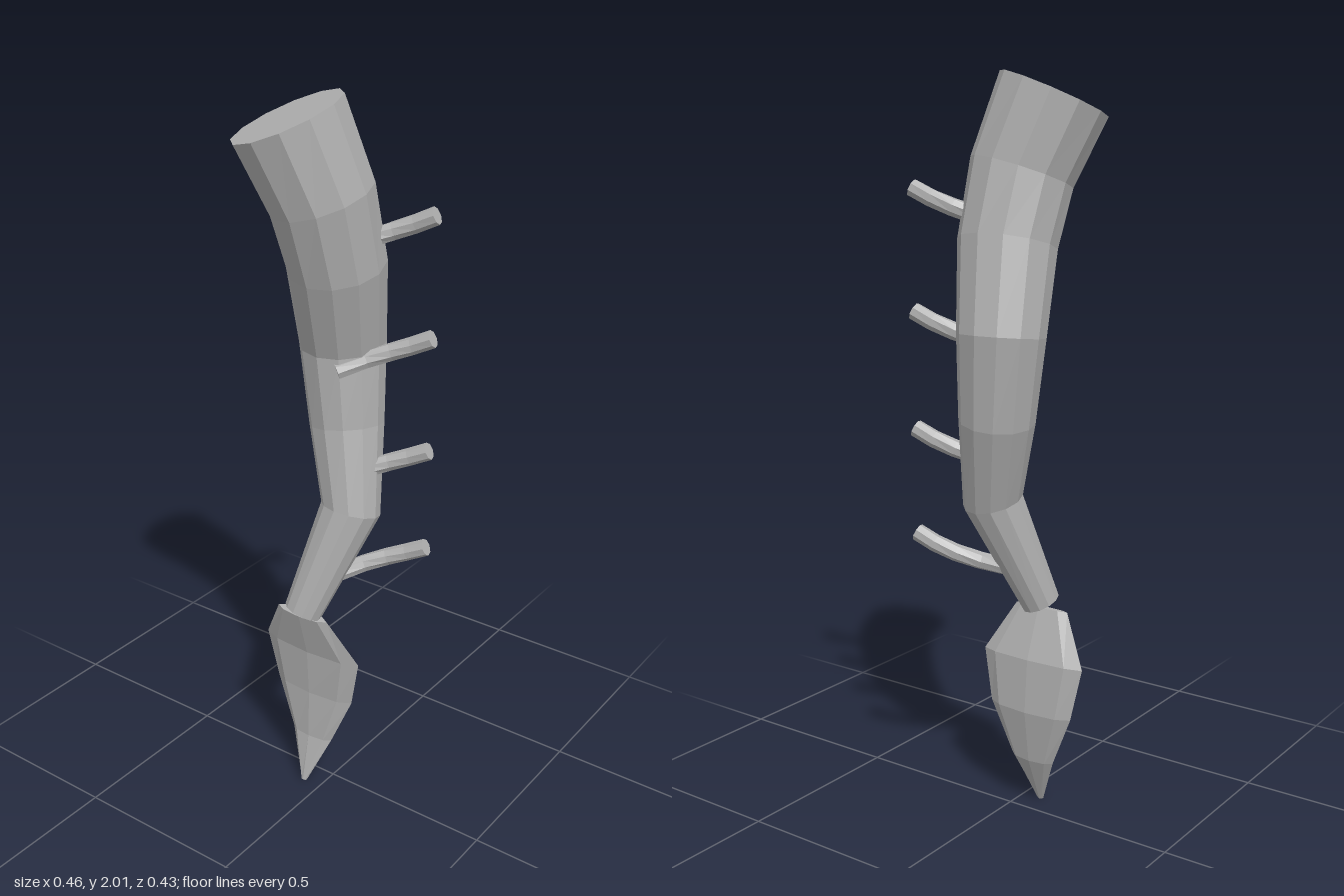
import * as THREE from 'three';

// Skin through cross-sections; each ring is [x, y, z, halfWidth, halfDepth]
function loft(rings, sides, tilt = 1) {
  const centres = rings.map(r => new THREE.Vector3(r[0], r[1], r[2]));
  const pos = [], idx = [], n = rings.length;
  rings.forEach((r, i) => {
    const t = centres[Math.min(i + 1, n - 1)].clone().sub(centres[Math.max(i - 1, 0)]).normalize();
    const up = new THREE.Vector3(0, 1, 0).lerp(t, tilt).normalize();
    const q = new THREE.Quaternion().setFromUnitVectors(new THREE.Vector3(0, 1, 0), up);
    for (let j = 0; j < sides; j++) {
      const a = j / sides * Math.PI * 2;
      const p = new THREE.Vector3(Math.cos(a) * r[3], 0, -Math.sin(a) * r[4]).applyQuaternion(q).add(centres[i]);
      pos.push(p.x, p.y, p.z);
    }
  });
  for (let i = 0; i < n - 1; i++) {
    for (let j = 0; j < sides; j++) {
      const k = (j + 1) % sides;
      const a = i * sides + j, b = i * sides + k;
      idx.push(a, b, b + sides, a, b + sides, a + sides);
    }
  }
  // End caps
  const top = (n - 1) * sides;
  for (let j = 1; j < sides - 1; j++) {
    idx.push(0, j + 1, j, top, top + j, top + j + 1);
  }
  const g = new THREE.BufferGeometry();
  g.setAttribute('position', new THREE.Float32BufferAttribute(pos, 3));
  g.setIndex(idx);
  const flat = g.toNonIndexed();
  flat.computeVertexNormals();
  return flat;
}

export function createModel() {
  const group = new THREE.Group();
  const grey = new THREE.MeshStandardMaterial({ color: 0xb0b0b0, flatShading: true });
  grey.name = 'grey';
  const add = (name, geometry) => {
    const mesh = new THREE.Mesh(geometry, grey);
    mesh.name = name;
    group.add(mesh);
    return mesh;
  };

  // Curving stalk, thickening towards the cut top
  const stalk = [
    [-0.053, 0.588, 0.07, 0.054],
    [0.03, 0.89, -0.04, 0.083],
    [-0.015, 1.12, -0.083, 0.102],
    [-0.038, 1.345, -0.095, 0.117],
    [-0.015, 1.575, -0.035, 0.131],
    [-0.025, 1.755, 0.015, 0.139],
    [-0.088, 1.95, 0.068, 0.151],
  ].map(r => [...r, r[3]]);
  add('stalk', loft(stalk, 12));

  // Flat, bent leaf-shaped blade at the bottom
  add('blade', loft([
    [-0.056, 0, 0.07, 0.009, 0.007],
    [-0.058, 0.14, 0.025, 0.068, 0.02],
    [-0.06, 0.29, 0.01, 0.132, 0.028],
    [-0.06, 0.437, 0.02, 0.162, 0.026],
    [-0.06, 0.575, 0.065, 0.084, 0.018],
  ], 8, 0.6));

  // Four matching side twigs
  const twig = new THREE.CatmullRomCurve3([
    new THREE.Vector3(0.01, -0.095, 0),
    new THREE.Vector3(0.08, -0.062, -0.075),
    new THREE.Vector3(0.15, -0.034, -0.112),
    new THREE.Vector3(0.22, 0, -0.13),
  ]);
  const twigRings = twig.getPoints(4).map(p => [p.x, p.y, p.z, 0.024, 0.024]);
  [0.79, 1.08, 1.395, 1.715].forEach((y, i) => {
    add('twig' + (i + 1), loft(twigRings, 8)).position.y = y;
  });

  return group;
}
